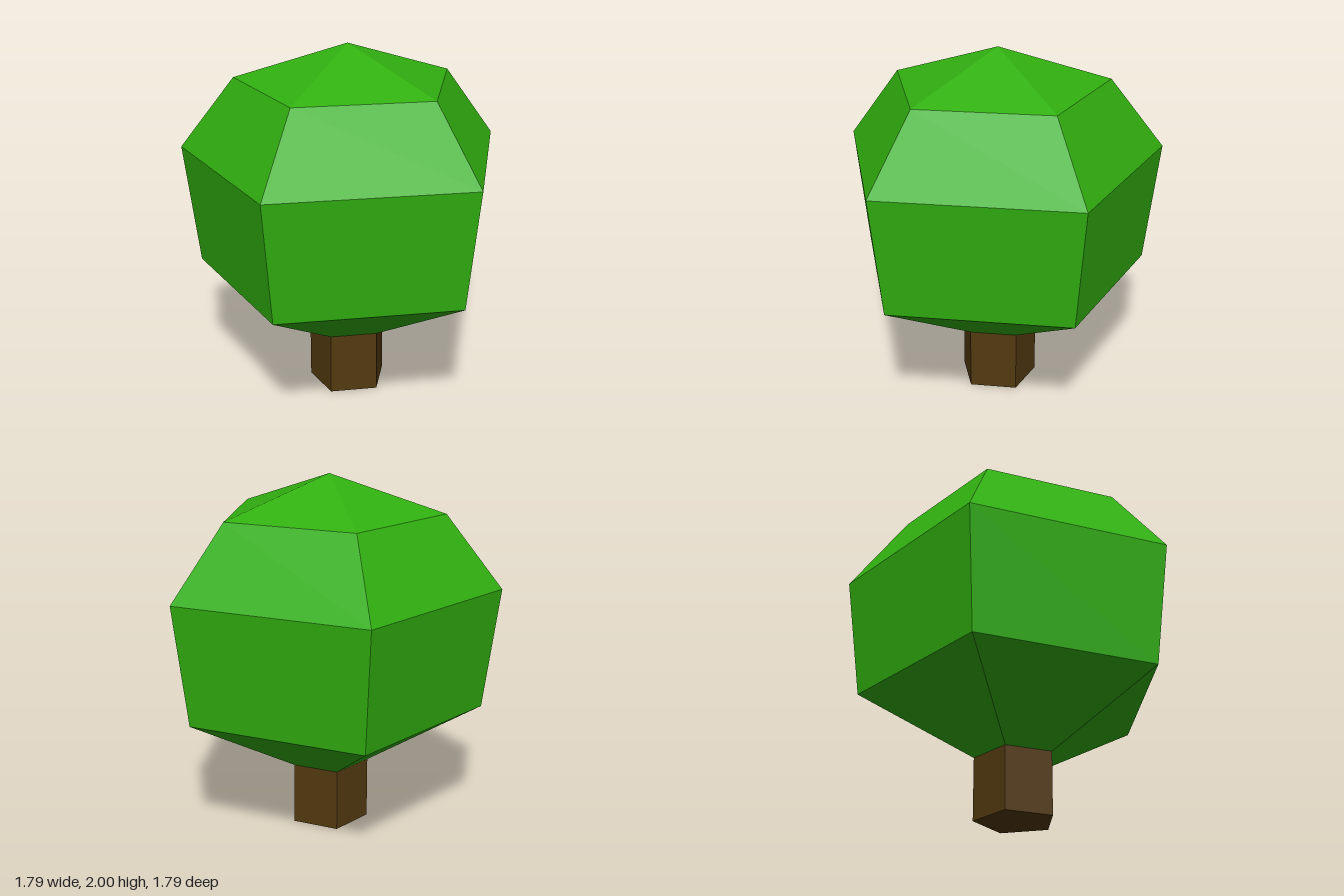
import * as THREE from 'three';

const SIDES = 5;
const TURN = THREE.MathUtils.degToRad(9);

// Five-sided faceted solid turned from [radius, height] points, bottom to top
function faceted(name, profile, material) {
  const points = profile.map(([r, y]) => new THREE.Vector2(r, y));
  const geometry = new THREE.LatheGeometry(points, SIDES, TURN).toNonIndexed();
  geometry.computeVertexNormals(); // one normal per facet
  const mesh = new THREE.Mesh(geometry, material);
  mesh.name = name;
  return mesh;
}

export function createModel() {
  const leafGreen = new THREE.MeshStandardMaterial({ name: 'leafGreen', color: 0x31b010 });
  const barkBrown = new THREE.MeshStandardMaterial({ name: 'barkBrown', color: 0x533a10 });

  const tree = new THREE.Group();
  tree.name = 'tree';

  // Trunk: short pentagonal prism, closed at both ends
  tree.add(faceted('trunk', [[0, 0], [0.226, 0], [0.226, 0.35], [0, 0.35]], barkBrown));

  // Canopy: flares from the trunk, widest above the middle, shallow peak
  tree.add(faceted('canopy', [
    [0.226, 0.35], [0.865, 0.7], [0.953, 1.38], [0.637, 1.79], [0, 2],
  ], leafGreen));

  // The odd-sided outline is centred by its bounds rather than its axis
  tree.children.forEach((part) => part.position.set(-0.047, 0, -0.047));
  return tree;
}
